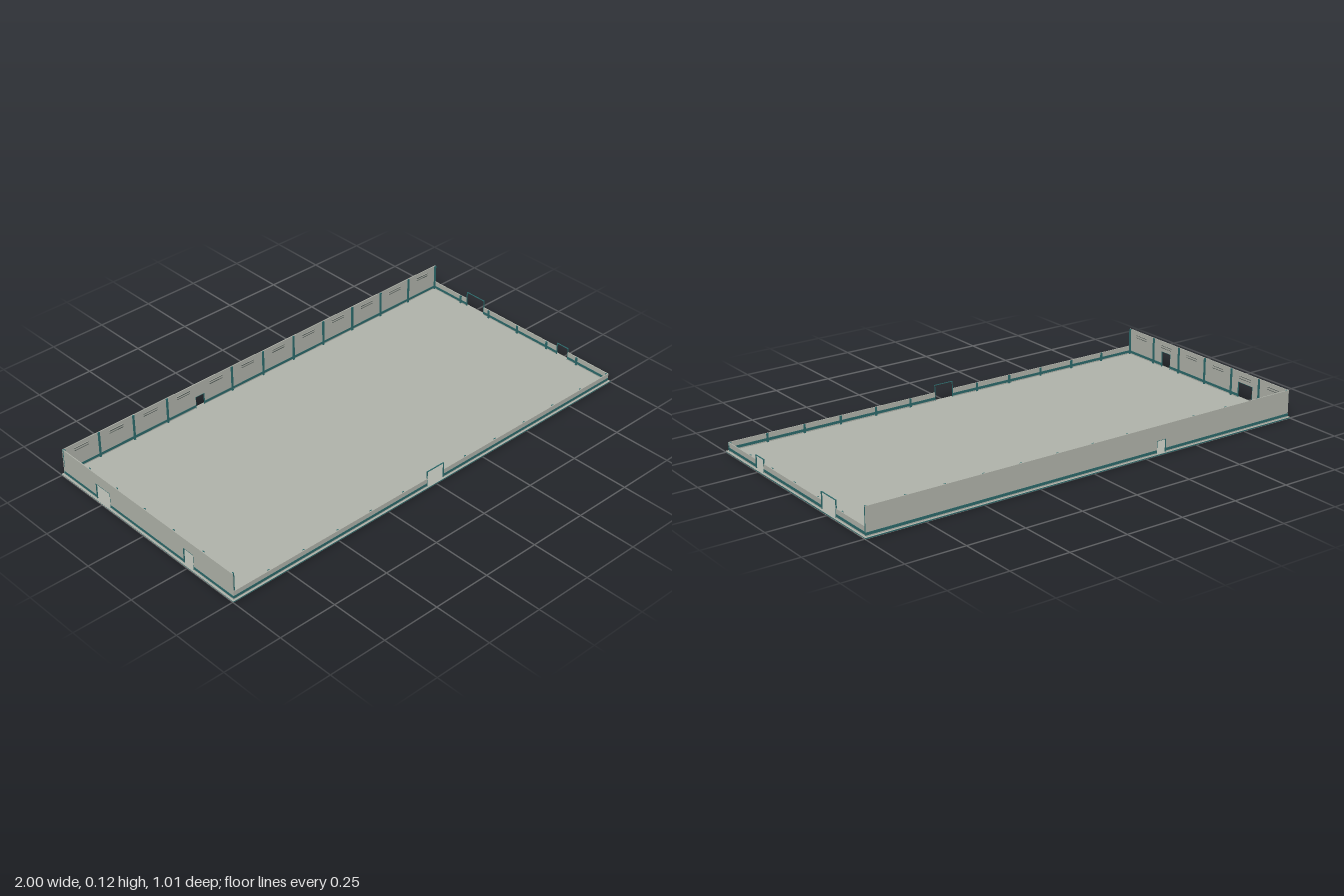
import * as THREE from 'three';

const FLOOR_TOP = 0.005, BAND_LOW = 0.01, BAND_HIGH = 0.021;
const TALL = 0.119, LOW = 0.041, THICK = 0.004, BAY = 0.165;

export function createModel() {
  const wallMat = new THREE.MeshStandardMaterial({ color: 0xb1b4ab });
  wallMat.name = 'warm grey';
  const trimMat = new THREE.MeshStandardMaterial({ color: 0x2c6a6b });
  trimMat.name = 'teal trim';
  const slatMat = new THREE.MeshStandardMaterial({ color: 0x3a4442 });
  slatMat.name = 'dark slat';

  // Box given by its x and y limits, its depth and its z centre
  function slab(parent, name, mat, x0, x1, y0, y1, depth, z = 0) {
    const mesh = new THREE.Mesh(new THREE.BoxGeometry(x1 - x0, y1 - y0, depth), mat);
    mesh.position.set((x0 + x1) / 2, (y0 + y1) / 2, z);
    mesh.name = name;
    parent.add(mesh);
  }

  // One wall along local x, with its inner side towards local +z
  function makeWall(name, half, height, doors, vents) {
    const wall = new THREE.Group();
    wall.name = name;

    // Solid stretches between the doors, each with a trim band at its foot
    const cuts = [-half];
    for (const d of doors) cuts.push(d.x - d.w / 2, d.x + d.w / 2);
    cuts.push(half);
    for (let i = 0; i < cuts.length; i += 2) {
      slab(wall, 'wallPanel', wallMat, cuts[i], cuts[i + 1], FLOOR_TOP, height, THICK);
      slab(wall, 'baseBand', trimMat, cuts[i], cuts[i + 1], BAND_LOW, BAND_HIGH, THICK + 0.002);
    }

    // Open doorways with thin frames
    for (const d of doors) {
      const a = d.x - d.w / 2, b = d.x + d.w / 2, t = 0.0015;
      if (height > d.h) slab(wall, 'wallOverDoor', wallMat, a, b, d.h, height, THICK);
      slab(wall, 'doorJamb', trimMat, a, a + t, FLOOR_TOP, d.h, THICK + 0.001);
      slab(wall, 'doorJamb', trimMat, b - t, b, FLOOR_TOP, d.h, THICK + 0.001);
      slab(wall, 'doorLintel', trimMat, a, b, d.h - t, d.h, THICK + 0.001);
    }

    // Posts on the inner side at every bay, left out at doorways
    const bays = Math.round((2 * half) / BAY);
    for (let i = 0; i <= bays; i++) {
      const x = THREE.MathUtils.clamp((i - bays / 2) * BAY, -half + 0.004, half - 0.004);
      if (doors.some((d) => Math.abs(d.x - x) < d.w / 2)) continue;
      slab(wall, 'post', trimMat, x - 0.004, x + 0.004, FLOOR_TOP, height, 0.005, 0.004);
    }

    // Slatted vents high up in each bay
    for (let i = 0; vents && i < bays; i++) {
      const x = (i + 0.5 - bays / 2) * BAY;
      slab(wall, 'ventPlate', wallMat, x - 0.033, x + 0.033, 0.088, 0.103, 0.002, 0.0025);
      for (const y of [0.09, 0.1]) {
        slab(wall, 'ventSlat', slatMat, x - 0.033, x + 0.033, y, y + 0.001, 0.003, 0.004);
      }
    }
    return wall;
  }

  const model = new THREE.Group();
  model.name = 'hall';

  // Floor slab with a trim edge below the surface
  slab(model, 'floor', wallMat, -1, 1, 0, FLOOR_TOP, 1.006);
  for (const s of [-1, 1]) {
    slab(model, 'floorEdge', trimMat, -1, 1, 0.0005, 0.0045, 0.001, s * 0.503);
    const side = new THREE.Group();
    side.name = 'floorEdgeSide';
    side.rotation.y = Math.PI / 2;
    slab(side, 'floorEdge', trimMat, -0.503, 0.503, 0.0005, 0.0045, 0.001, s * 0.9995);
    model.add(side);
  }

  // Tall back and left-hand walls, low front and opposite walls
  const back = makeWall('backWall', 0.992, TALL, [{ x: -0.33, w: 0.045, h: 0.058 }], true);
  back.position.z = -0.494;

  const front = makeWall('frontWall', 0.992, LOW, [{ x: 0, w: 0.088, h: 0.073 }], false);
  front.position.z = 0.494;
  front.rotation.y = Math.PI;

  const tallSide = makeWall('tallSideWall', 0.494, TALL,
    [{ x: -0.25, w: 0.057, h: 0.073 }, { x: 0.248, w: 0.086, h: 0.073 }], true);
  tallSide.position.x = -0.99;
  tallSide.rotation.y = Math.PI / 2;

  const lowSide = makeWall('lowSideWall', 0.494, LOW,
    [{ x: -0.247, w: 0.1, h: 0.073 }, { x: 0.25, w: 0.06, h: 0.059 }], false);
  lowSide.position.x = 0.99;
  lowSide.rotation.y = -Math.PI / 2;

  model.add(back, front, tallSide, lowSide);
  return model;
}
